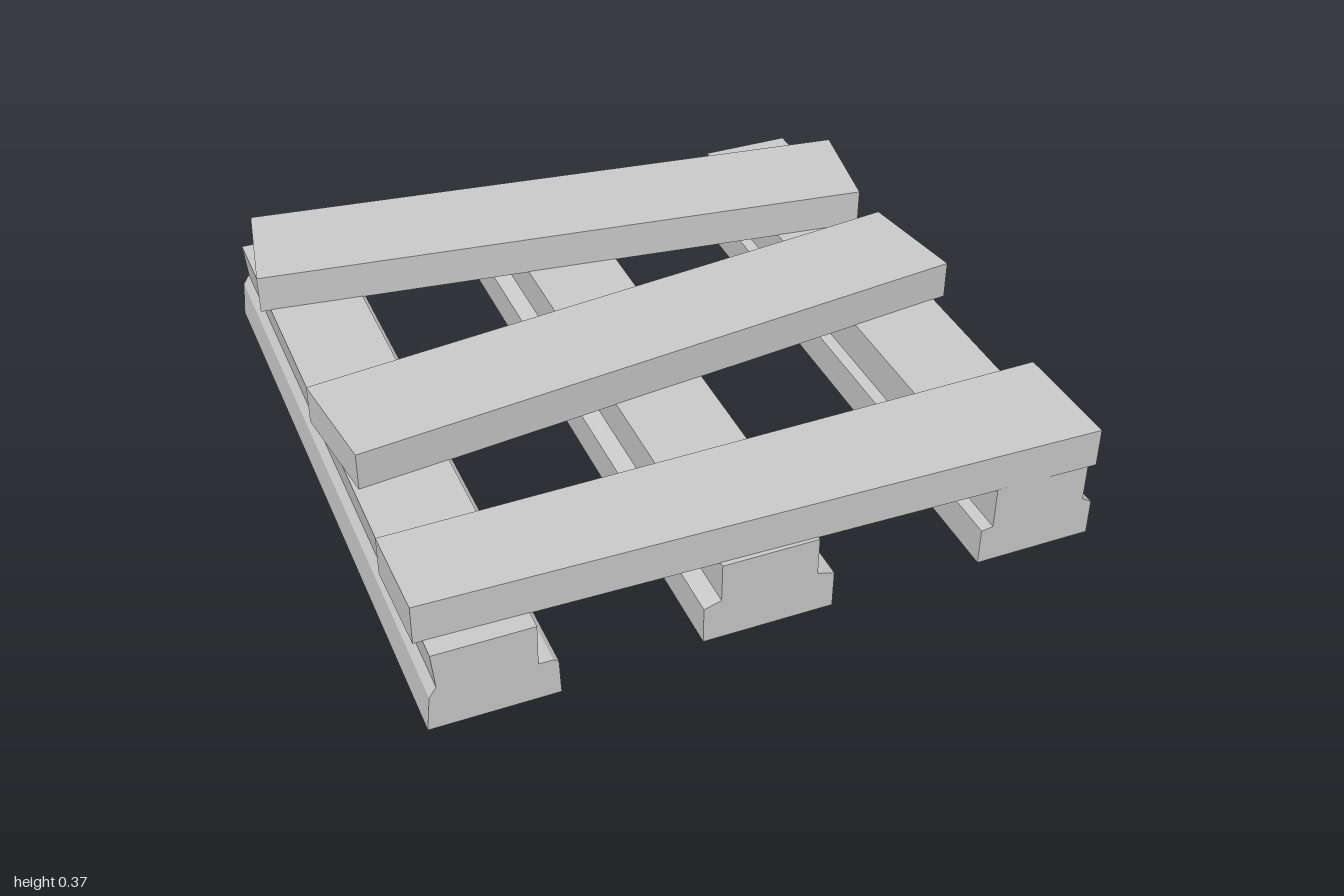
import * as THREE from 'three';

const wood = new THREE.MeshStandardMaterial({ color: 0xcccccc });
wood.name = 'plain grey wood';

function extrude(points, depth) {
  const shape = new THREE.Shape(points.map(([x, y]) => new THREE.Vector2(x, y)));
  return new THREE.ExtrudeGeometry(shape, { depth, bevelEnabled: false });
}

// Stepped beam running front to back, from its end profile
function runner(name, profile, zBack, zFront) {
  const geo = extrude(profile, zFront - zBack).translate(0, 0, zBack);
  const mesh = new THREE.Mesh(geo, wood);
  mesh.name = name;
  return mesh;
}

// Deck board from its four [x, z] corners seen from above
function board(name, corners) {
  const geo = extrude(corners.map(([x, z]) => [x, -z]), 0.12);
  geo.rotateX(-Math.PI / 2).translate(0, 0.248, 0);
  const mesh = new THREE.Mesh(geo, wood);
  mesh.name = name;
  return mesh;
}

export function createModel() {
  const pallet = new THREE.Group();
  pallet.name = 'pallet';

  // Three runners, each a wide foot with a narrower rail on top
  pallet.add(
    runner('rightRunner', [
      [-0.98, 0], [-0.62, 0], [-0.625, 0.11], [-0.64, 0.12], [-0.68, 0.12],
      [-0.68, 0.25], [-0.96, 0.25], [-0.95, 0.14], [-0.97, 0.11],
    ], -1, 1),
    runner('middleRunner', [
      [-0.21, 0], [0.17, 0], [0.17, 0.115], [0.12, 0.13],
      [0.12, 0.25], [-0.16, 0.25], [-0.16, 0.13], [-0.21, 0.115],
    ], -0.97, 0.97),
    runner('leftRunner', [
      [0.62, 0], [0.97, 0], [0.97, 0.11], [0.94, 0.13],
      [0.94, 0.25], [0.655, 0.25], [0.655, 0.12], [0.62, 0.115],
    ], -0.98, 0.97),
  );

  // Three crooked boards across the top
  pallet.add(
    board('backBoard', [[-0.99, -0.62], [0.925, -0.385], [0.985, -0.725], [-0.925, -0.97]]),
    board('middleBoard', [[-0.945, 0.315], [0.98, 0.09], [0.925, -0.255], [-0.99, 0.03 - 0.06]]),
    board('frontBoard', [[-0.985, 0.94], [0.962, 0.975], [0.955, 0.63], [-0.99, 0.66]]),
  );
  return pallet;
}
